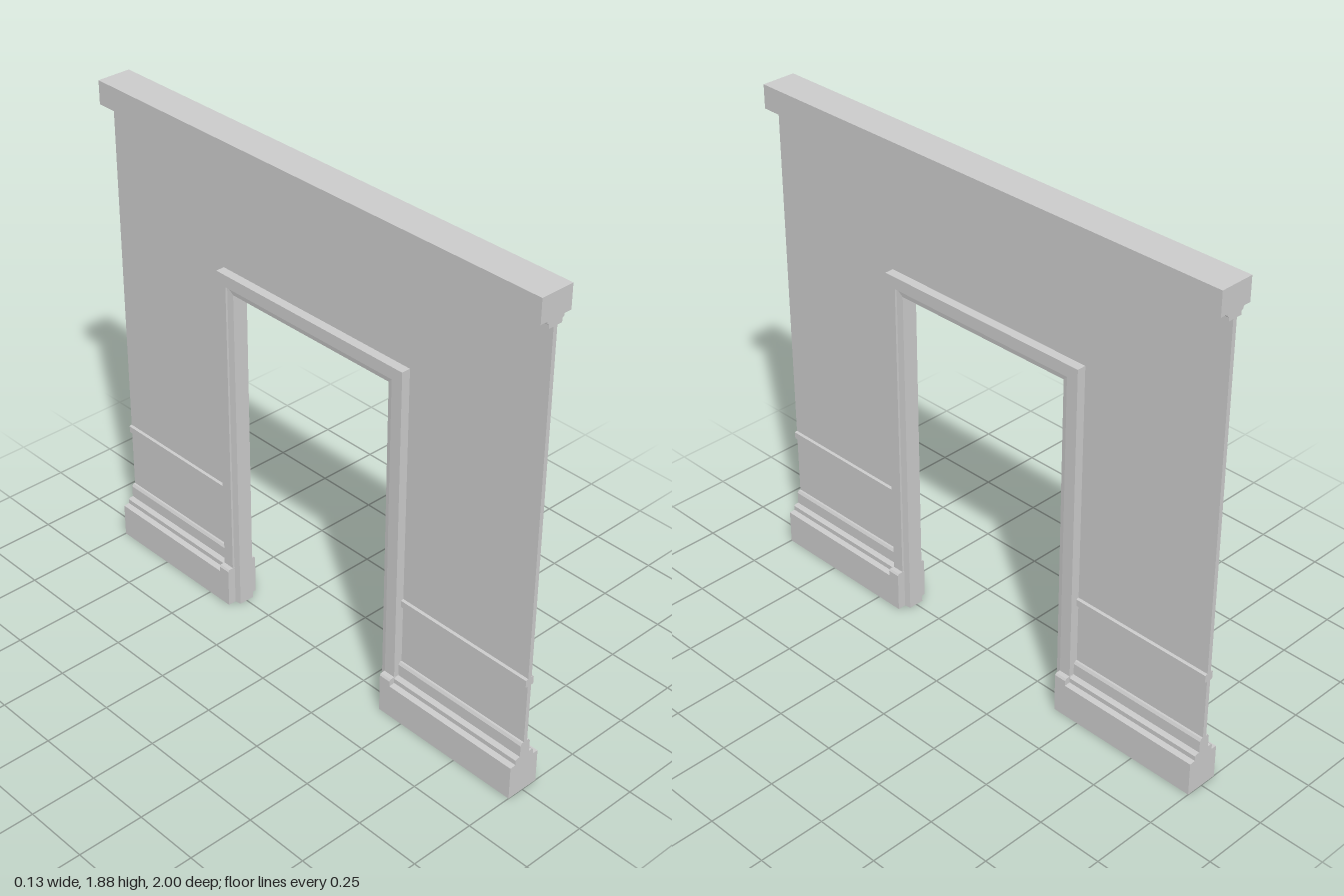
import * as THREE from 'three';

const material = new THREE.MeshStandardMaterial({ color: 0xcccccc, flatShading: true });
const HALF = 1, OPEN = 0.37, HEAD = 1.305, CASING = 0.07;

function mesh(name, geometry) {
  const m = new THREE.Mesh(geometry, material);
  m.name = name;
  return m;
}

// Mirrors a half profile [x, y] (bottom to top) about x = 0 and runs it along z.
function moulding(name, half, z0, z1) {
  const mirrored = half.slice().reverse().map(([x, y]) => [-x, y]);
  const shape = new THREE.Shape([...half, ...mirrored].map(([x, y]) => new THREE.Vector2(x, y)));
  const geometry = new THREE.ExtrudeGeometry(shape, { depth: z1 - z0, bevelEnabled: false });
  geometry.translate(0, 0, z0);
  return mesh(name, geometry);
}

// Thin wall panel cut away around the doorway.
function wallPanel() {
  const o = OPEN + 0.04, top = HEAD + 0.04, t = 0.016;
  const outline = [[-HALF, 0], [-o, 0], [-o, top], [o, top], [o, 0], [HALF, 0], [HALF, 1.8], [-HALF, 1.8]];
  const shape = new THREE.Shape(outline.map(([z, y]) => new THREE.Vector2(z, y)));
  const geometry = new THREE.ExtrudeGeometry(shape, { depth: t, bevelEnabled: false });
  geometry.translate(0, 0, -t / 2);
  geometry.rotateY(-Math.PI / 2);
  return mesh('wallPanel', geometry);
}

// Door frame: a [distance from opening, x] section mitred up, across and down.
function doorFrame() {
  const half = [[CASING, -0.042], [0.025, -0.042], [0.025, -0.034], [0, -0.03]];
  const section = [...half, ...half.slice().reverse().map(([d, x]) => [d, -x])];
  const stations = [[1, false], [1, true], [-1, true], [-1, false]];
  const point = ([s, up], [d, x]) => [x, up ? HEAD + d : 0, s * (OPEN + d)];
  const pos = [];
  section.forEach((a, i) => {
    const b = section[(i + 1) % section.length];
    for (let k = 0; k < 3; k++) {
      const a0 = point(stations[k], a), b0 = point(stations[k], b);
      const a1 = point(stations[k + 1], a), b1 = point(stations[k + 1], b);
      pos.push(...a0, ...a1, ...b0, ...b0, ...a1, ...b1);
    }
    // feet
    const centre = [0.05, 0];
    pos.push(...[centre, a, b].flatMap(p => point(stations[0], p)));
    pos.push(...[centre, b, a].flatMap(p => point(stations[3], p)));
  });
  const geometry = new THREE.BufferGeometry();
  geometry.setAttribute('position', new THREE.Float32BufferAttribute(pos, 3));
  geometry.computeVertexNormals();
  return mesh('doorFrame', geometry);
}

export function createModel() {
  const group = new THREE.Group();
  group.name = 'doorwayWall';
  group.add(wallPanel(), doorFrame());

  group.add(moulding('cornice', [
    [0.012, 1.77], [0.028, 1.77], [0.028, 1.783], [0.036, 1.79], [0.036, 1.797],
    [0.065, 1.797], [0.065, 1.885],
  ], -HALF, HALF));

  const skirting = [
    [0.065, 0], [0.065, 0.13], [0.042, 0.132], [0.042, 0.15], [0.036, 0.155],
    [0.022, 0.155], [0.022, 0.2], [0.016, 0.21],
  ];
  const rail = [[0.014, 0.443], [0.018, 0.446], [0.018, 0.472], [0.014, 0.475]];
  const plinth = [[0.065, 0], [0.065, 0.15], [0.06, 0.157]];

  // Skirting, chair rail and plinth block on each side of the doorway
  const edge = OPEN + CASING;
  for (const [side, s] of [['front', 1], ['back', -1]]) {
    const run = (name, profile, a, b) =>
      group.add(moulding(side + name, profile, Math.min(s * a, s * b), Math.max(s * a, s * b)));
    run('Skirting', skirting, edge, HALF);
    run('ChairRail', rail, edge, HALF);
    run('PlinthBlock', plinth, OPEN + 0.024, edge + 0.001);
  }
  return group;
}
